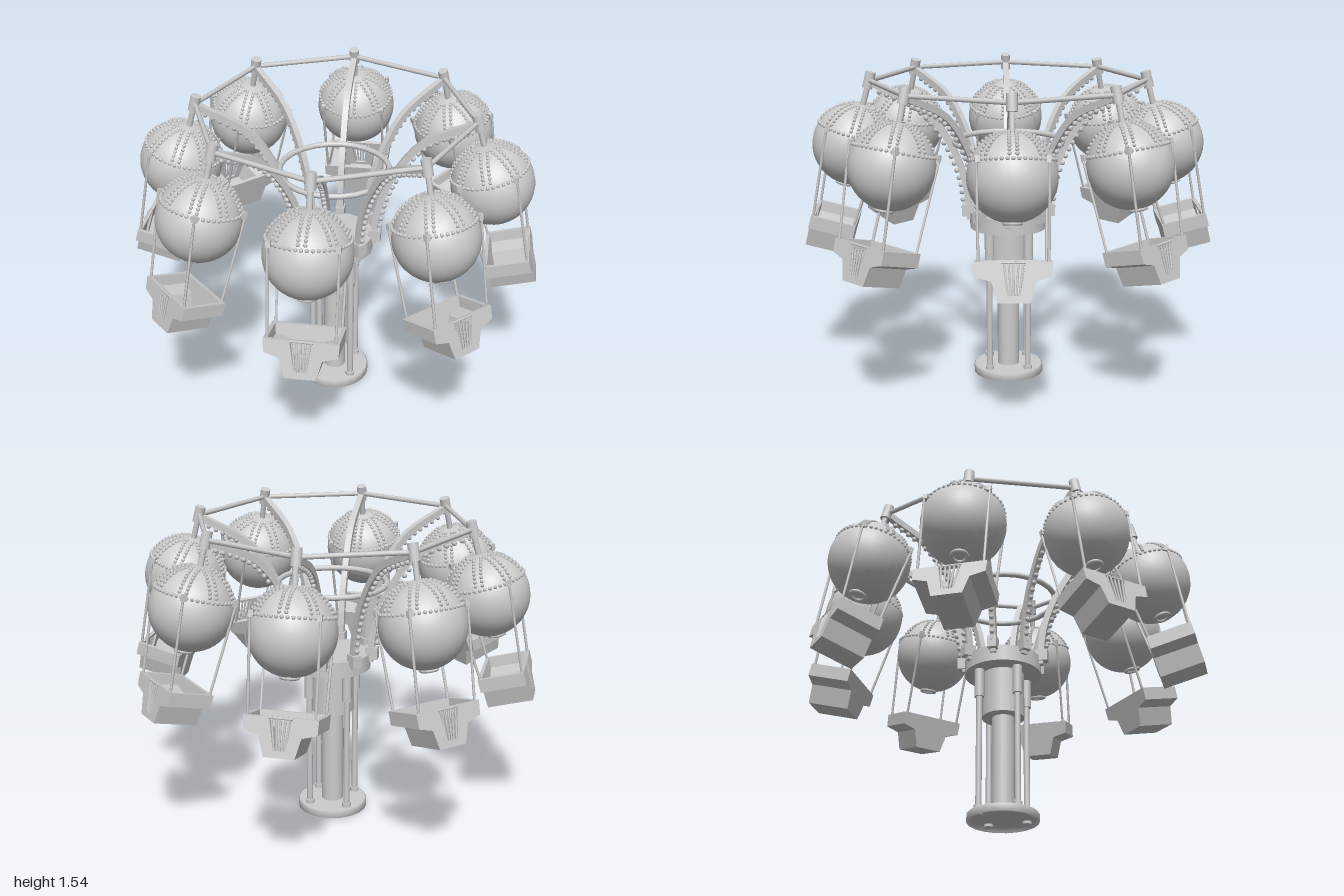
import * as THREE from 'three';
import { mergeGeometries } from 'three/addons/utils/BufferGeometryUtils.js';

const material = new THREE.MeshStandardMaterial({ color: 0xcccccc, side: THREE.DoubleSide });
const COUNT = 8, PIVOT_R = 0.67, PIVOT_Y = 1.5, TILT = THREE.MathUtils.degToRad(15);
const BALLOON_R = 0.2, BALLOON_Y = -0.33;

function add(parent, name, geometry, x = 0, y = 0, z = 0) {
  const mesh = new THREE.Mesh(geometry, material);
  mesh.name = name;
  mesh.position.set(x, y, z);
  parent.add(mesh);
  return mesh;
}

const cylinder = (r, h, sides = 16) => new THREE.CylinderGeometry(r, r, h, sides);

// Round bar running between two points
function bar(parent, name, a, b, r, sides = 8) {
  const from = new THREE.Vector3(...a), to = new THREE.Vector3(...b);
  const dir = to.clone().sub(from);
  const mesh = add(parent, name, cylinder(r, dir.length(), sides));
  mesh.position.copy(from).add(to).multiplyScalar(0.5);
  mesh.quaternion.setFromUnitVectors(new THREE.Vector3(0, 1, 0), dir.normalize());
  return mesh;
}

// Small light bulbs merged into one geometry
function bulbs(points, r) {
  const bulb = new THREE.SphereGeometry(r, 6, 4);
  return mergeGeometries(points.map((p) => bulb.clone().translate(p.x, p.y, p.z)));
}

// Paired rows of bulbs down eight seams, ending in a ring above the equator
function balloonBulbs() {
  const points = [];
  const place = (polar, azimuth) =>
    points.push(new THREE.Vector3().setFromSphericalCoords(BALLOON_R, polar, azimuth));
  for (let seam = 0; seam < 8; seam++) {
    for (let i = 0; i < 9; i++) {
      const polar = THREE.MathUtils.degToRad(17 + i * 5.7);
      const offset = 0.016 / (BALLOON_R * Math.sin(polar));
      for (const side of [-1, 1]) place(polar, (seam * Math.PI) / 4 + side * offset);
    }
  }
  for (let i = 0; i < 48; i++) place(THREE.MathUtils.degToRad(69), (i / 48) * Math.PI * 2);
  return bulbs(points, 0.0095);
}

// Mirrored outline from right-hand points, listed top to bottom
function mirrored(points) {
  const left = points.map(([x, y]) => [-x, y]).reverse();
  return [...points, ...left].map(([x, y]) => new THREE.Vector2(x, y));
}

const extrude = (shape, depth) =>
  new THREE.ExtrudeGeometry(shape, { depth, bevelEnabled: false });

// Stepped gondola tub: wide shoulders over a narrow keel, open on top
function buildGondola() {
  const gondola = new THREE.Group();
  gondola.name = 'gondola';
  const outer = [[0.168, -0.69], [0.165, -0.755], [0.095, -0.775], [0.07, -0.867]];
  const inner = [[0.15, -0.69], [0.148, -0.741], [0.081, -0.76], [0.057, -0.852]];
  const half = 0.11, wall = 0.018;

  const shellPoints = [...mirrored(outer), ...mirrored(inner).reverse()];
  add(gondola, 'tubShell', extrude(new THREE.Shape(shellPoints), 2 * half - 0.002), 0, 0, -half + 0.001);
  add(gondola, 'innerEndWall', extrude(new THREE.Shape(mirrored(outer)), wall), 0, 0, -half);

  const endWall = new THREE.Shape(mirrored(outer));
  endWall.holes.push(new THREE.Path(mirrored([[0.05, -0.702], [0.028, -0.835]])));
  add(gondola, 'outerEndWall', extrude(endWall, wall), 0, 0, half - wall);

  // Fanned grille bars in the outer opening
  for (let i = -2; i <= 2; i++) {
    bar(gondola, 'grilleBar', [i * 0.021, -0.695, half - 0.004], [i * 0.012, -0.84, half - 0.004], 0.005, 6);
  }
  bar(gondola, 'grilleRail', [-0.053, -0.695, half - 0.004], [0.053, -0.695, half - 0.004], 0.007, 6);
  return gondola;
}

// One hanging car: pivot, balloon, ropes and gondola, swung outward
function buildCar(bulbGeometry) {
  const car = new THREE.Group();
  car.name = 'balloonCar';
  car.position.set(0, PIVOT_Y, PIVOT_R);
  car.rotation.x = -TILT;

  add(car, 'pivotPost', cylinder(0.025, 0.08), 0, -0.008, 0);
  add(car, 'hangerRod', cylinder(0.014, 0.12, 10), 0, -0.09, 0);
  add(car, 'balloon', new THREE.SphereGeometry(BALLOON_R, 32, 24), 0, BALLOON_Y, 0);
  add(car, 'balloonBulbs', bulbGeometry, 0, BALLOON_Y, 0);
  add(car, 'balloonMouth', new THREE.TorusGeometry(0.036, 0.009, 8, 20), 0, BALLOON_Y - 0.2, 0)
    .rotation.x = Math.PI / 2;

  for (const sx of [-1, 1]) {
    for (const sz of [-1, 1]) {
      bar(car, 'rope', [sx * 0.155, -0.25, sz * 0.135], [sx * 0.15, -0.72, sz * 0.098], 0.0065, 6);
      add(car, 'ropeBracket', new THREE.BoxGeometry(0.022, 0.03, 0.022), sx * 0.15, -0.257, sz * 0.13);
    }
  }
  car.add(buildGondola());
  return car;
}

// Curved lifting arm with bulbs along its outer edge
function buildArm() {
  const arm = new THREE.Group();
  arm.name = 'arm';
  const path = new THREE.CatmullRomCurve3(
    [[0.19, 0.8], [0.215, 1.0], [0.285, 1.18], [0.42, 1.36], [0.655, 1.475]]
      .map(([r, y]) => new THREE.Vector3(r, y, 0)));
  const along = (u, offset) => {
    const p = path.getPointAt(u), t = path.getTangentAt(u);
    return new THREE.Vector3(p.x + t.y * offset, p.y - t.x * offset, 0);
  };
  const steps = Array.from({ length: 21 }, (_, i) => i / 20);
  const edge = (offset) => steps.map((u) => along(u, offset));
  const outline = [...edge(0.016), ...edge(-0.016).reverse()].map((p) => new THREE.Vector2(p.x, p.y));
  const beam = extrude(new THREE.Shape(outline), 0.03).translate(0, 0, -0.015);
  add(arm, 'armBeam', beam.rotateY(-Math.PI / 2));

  const bulbPoints = Array.from({ length: 21 }, (_, i) => along(0.07 + i * 0.044, 0.025));
  add(arm, 'armBulbs', bulbs(bulbPoints, 0.013).rotateY(-Math.PI / 2));
  add(arm, 'armFoot', new THREE.BoxGeometry(0.045, 0.06, 0.06), 0, 0.845, 0.2);
  return arm;
}

function buildTower() {
  const tower = new THREE.Group();
  tower.name = 'tower';
  // Hollow-bottomed base plate
  const profile = [[0, 0.04], [0.168, 0.04], [0.175, 0.034], [0.175, 0], [0.163, 0], [0.163, 0.024], [0, 0.024]];
  const base = new THREE.LatheGeometry(profile.map(([x, y]) => new THREE.Vector2(x, y)).reverse(), 20);
  add(tower, 'basePlate', base);
  add(tower, 'column', cylinder(0.055, 0.56, 20), 0, 0.31, 0);
  add(tower, 'liftSleeve', cylinder(0.105, 0.24, 20), 0, 0.65, 0);
  add(tower, 'hub', cylinder(0.19, 0.08, 24), 0, 0.8, 0);

  for (let i = 0; i < 4; i++) {
    const x = 0.135 * Math.cos((i * Math.PI) / 2), z = 0.135 * Math.sin((i * Math.PI) / 2);
    add(tower, 'guidePole', cylinder(0.015, 0.76, 12), x, 0.39, z);
    add(tower, 'poleFoot', cylinder(0.022, 0.05, 12), x, 0.035, z);
    add(tower, 'poleCollar', cylinder(0.024, 0.15, 12), x, 0.69, z);
  }
  return tower;
}

export function createModel() {
  const model = new THREE.Group();
  model.name = 'balloonRide';
  model.add(buildTower());

  // Hoop bracing all the arms
  add(model, 'braceHoop', new THREE.TorusGeometry(0.266, 0.014, 8, 24), 0, 1.19, 0)
    .rotation.x = Math.PI / 2;

  const bulbGeometry = balloonBulbs();
  for (let i = 0; i < COUNT; i++) {
    const step = (Math.PI * 2) / COUNT;
    const section = new THREE.Group();
    section.name = 'section';
    section.rotation.y = i * step;
    section.add(buildArm(), buildCar(bulbGeometry));
    // Tie bar to the next arm tip
    bar(section, 'tieBar', [0, 1.49, PIVOT_R],
      [PIVOT_R * Math.sin(step), 1.49, PIVOT_R * Math.cos(step)], 0.012);
    model.add(section);
  }
  return model;
}
